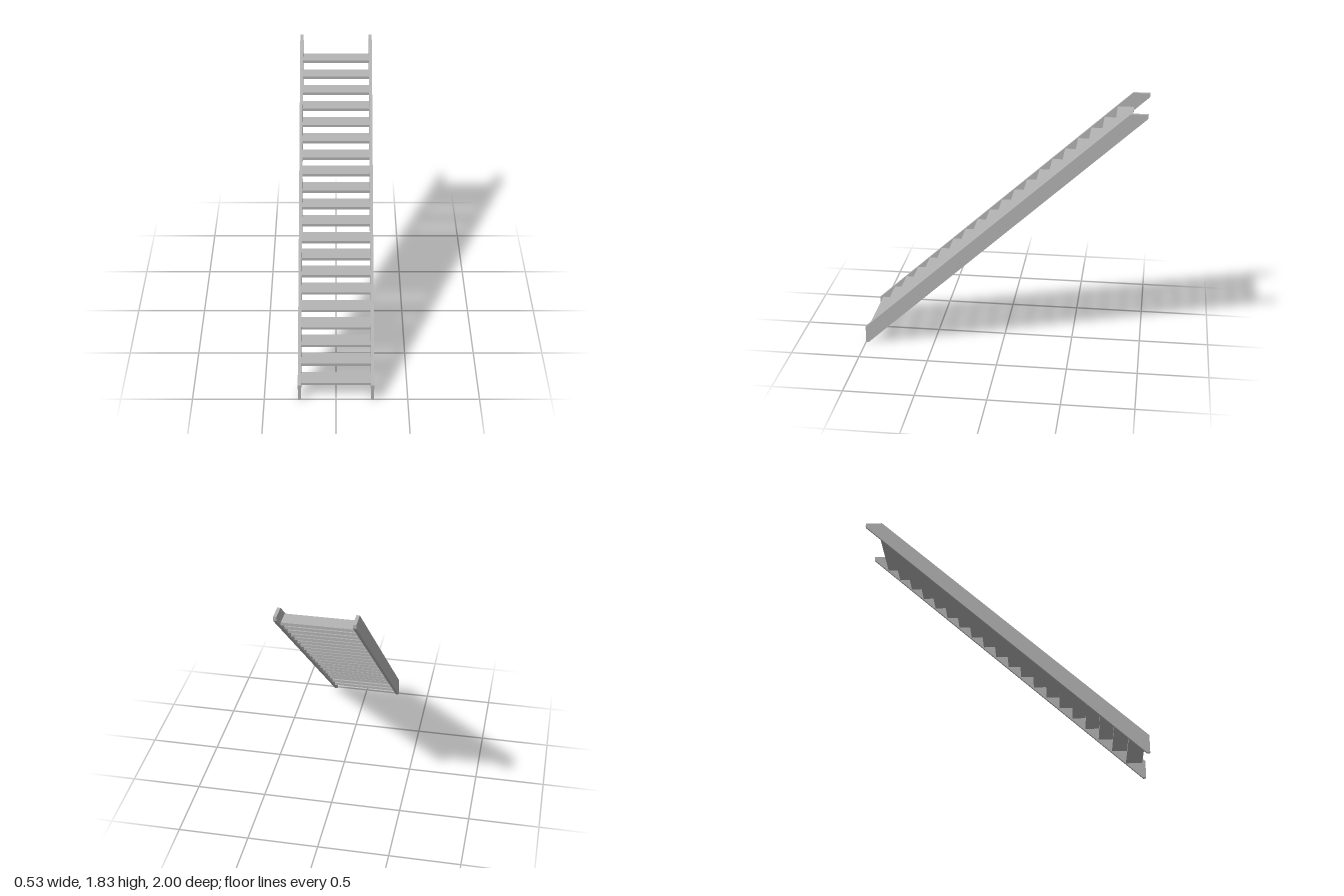
import * as THREE from 'three';

export function createModel() {
  const group = new THREE.Group();
  group.name = 'openStaircase';
  const grey = new THREE.MeshStandardMaterial({ color: 0xb4b4b4 });
  grey.name = 'grey';

  // Stringers: side profile as (-z, y), extruded across the board thickness
  const thickness = 0.022, innerX = 0.243;
  const profile = new THREE.Shape([
    [-1, 0], [-0.98, 0], [1, 1.8], [1, 1.827], [0.88, 1.827], [-1, 0.125],
  ].map(([a, y]) => new THREE.Vector2(a, y)));
  const board = new THREE.ExtrudeGeometry(profile, { depth: thickness, bevelEnabled: false });
  board.rotateY(Math.PI / 2);
  for (const [name, x] of [['leftStringer', innerX], ['rightStringer', -innerX - thickness]]) {
    const stringer = new THREE.Mesh(board, grey);
    stringer.name = name;
    stringer.position.x = x;
    group.add(stringer);
  }

  // Treads: regular steps, with the two lowest spaced slightly wider
  const depth = 0.115, height = 0.02, count = 20;
  const treadGeometry = new THREE.BoxGeometry(innerX * 2, height, depth);
  for (let i = 0; i < count; i++) {
    let top = 1.725 - i * 0.083;
    let front = -0.775 + i * 0.092;
    if (i === count - 2) top = 0.223;
    if (i === count - 1) { top = 0.13; front = 0.976; }
    const tread = new THREE.Mesh(treadGeometry, grey);
    tread.name = 'tread' + (count - i);
    tread.position.set(0, top - height / 2, front - depth / 2);
    group.add(tread);
  }
  return group;
}
